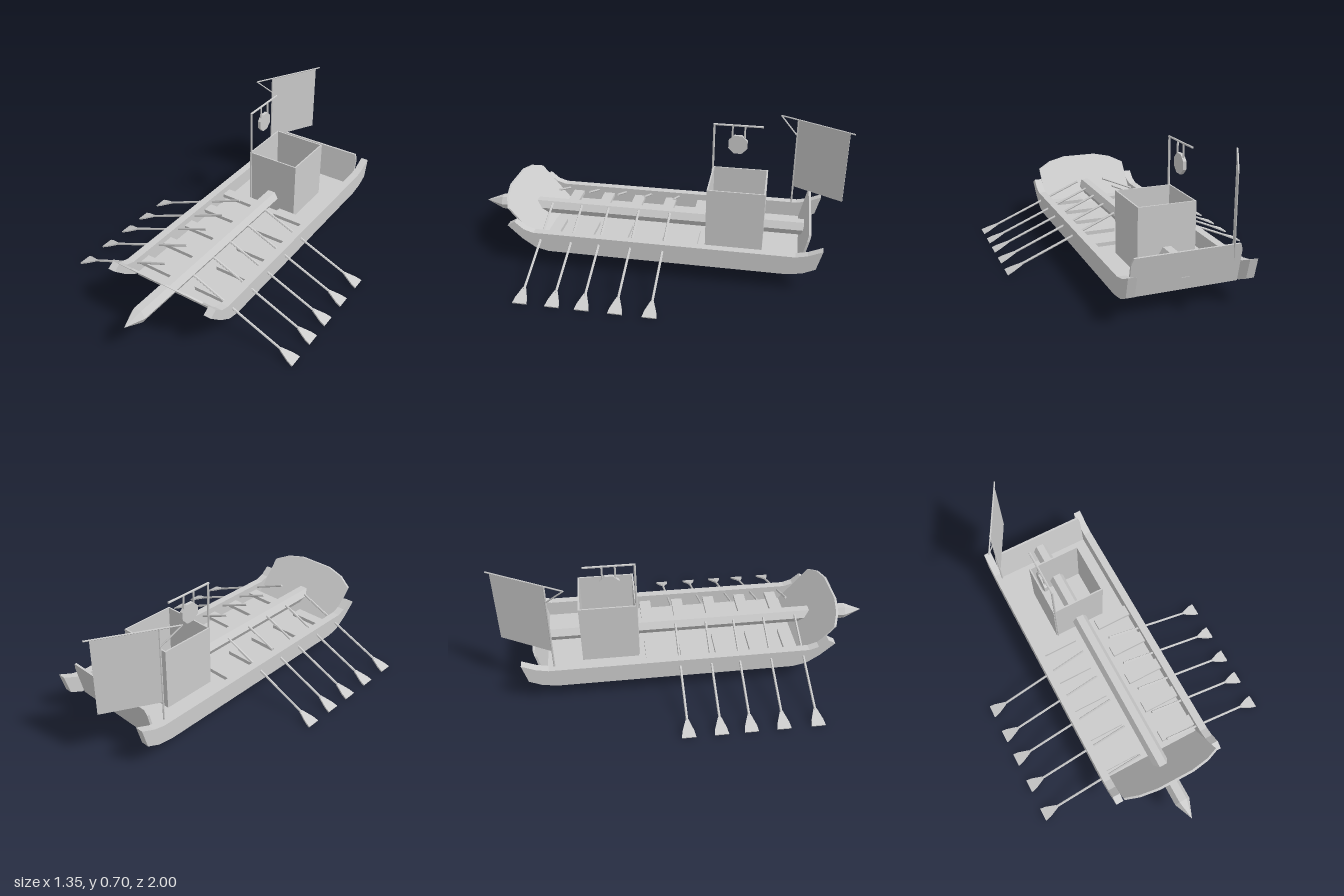
import * as THREE from 'three';

export function createModel() {
  const model = new THREE.Group();
  const mat = new THREE.MeshStandardMaterial({ color: 0xcccccc, flatShading: true, side: THREE.DoubleSide });

  const add = (geo, name, parent = model) => {
    const mesh = new THREE.Mesh(geo, mat);
    mesh.name = name;
    parent.add(mesh);
    return mesh;
  };

  // Box given by its limits on each axis
  const box = (name, x0, x1, y0, y1, z0, z1, parent) => add(
    new THREE.BoxGeometry(x1 - x0, y1 - y0, z1 - z0)
      .translate((x0 + x1) / 2, (y0 + y1) / 2, (z0 + z1) / 2), name, parent);

  // Straight rod between two points
  const rod = (name, a, b, r, sides = 6, parent = model) => {
    const from = new THREE.Vector3(...a), to = new THREE.Vector3(...b);
    const mesh = add(new THREE.CylinderGeometry(r, r, from.distanceTo(to), sides), name, parent);
    mesh.position.copy(from).add(to).multiplyScalar(0.5);
    mesh.quaternion.setFromUnitVectors(new THREE.Vector3(0, 1, 0), to.sub(from).normalize());
    return mesh;
  };

  const extrude = (pts, depth) => new THREE.ExtrudeGeometry(
    new THREE.Shape(pts.map(p => new THREE.Vector2(...p))), { depth, bevelEnabled: false });

  // Side rails: profile in (z, y), extruded across x
  const railProfile = [
    [0.54, 0.097], [0.61, 0.113], [0.68, 0.16], [0.757, 0.232], [0.717, 0.256], [0.67, 0.216], [0.62, 0.2],
    [-0.74, 0.2], [-0.80, 0.213], [-0.873, 0.245], [-0.845, 0.14], [-0.78, 0.11], [-0.70, 0.097],
  ];
  for (const [name, x] of [['leftRail', 0.316], ['rightRail', -0.274]]) {
    add(extrude(railProfile, 0.042).rotateY(-Math.PI / 2).translate(x, 0, 0), name);
  }

  // Floor
  box('floor', -0.274, 0.274, 0.1, 0.115, -0.76, 0.6);

  // Sloping end boards: outline in (x, height), sheared along z by a rule
  const endBoard = (name, pts, y0, z0, slope, thickness) => {
    const geo = extrude(pts, thickness);
    const p = geo.attributes.position;
    for (let i = 0; i < p.count; i++) p.setZ(i, p.getZ(i) + z0 + (p.getY(i) - y0) * slope);
    geo.computeVertexNormals();
    return add(geo, name);
  };
  endBoard('bowBoard', [
    [-0.274, 0.105], [0.274, 0.105], [0.274, 0.31], [0.2, 0.345], [0.1, 0.365],
    [-0.1, 0.365], [-0.2, 0.345], [-0.274, 0.31],
  ], 0.105, 0.585, 0.82, 0.012);
  endBoard('sternBoard', [
    [-0.274, 0.1], [0.274, 0.1], [0.274, 0.27], [0.262, 0.302], [-0.262, 0.302], [-0.274, 0.27],
  ], 0.1, -0.765, -0.225, 0.012);

  // Six-sided keel beam running out into a pointed ram
  add(new THREE.CylinderGeometry(0.042, 0.042, 1.68, 6).rotateY(Math.PI / 6)
    .rotateX(Math.PI / 2).translate(0, 0.2, 0.06), 'keelBeam');
  add(new THREE.ConeGeometry(0.042, 0.1, 6).rotateY(Math.PI / 6)
    .rotateX(Math.PI / 2).translate(0, 0.2, 0.95), 'ramTip');

  // Open-topped cabin
  const cabin = new THREE.Group();
  cabin.name = 'cabin';
  model.add(cabin);
  const w = 0.008;
  box('cabinFloor', -0.15, 0.15, 0.098, 0.12, -0.57, -0.27, cabin);
  box('cabinFront', -0.15, 0.15, 0.1, 0.447, -0.27 - w, -0.27, cabin);
  box('cabinBack', -0.15, 0.15, 0.1, 0.447, -0.57, -0.57 + w, cabin);
  box('cabinLeftWall', 0.15 - w, 0.15, 0.1, 0.447, -0.57 + w, -0.27 - w, cabin);
  box('cabinRightWall', -0.15, -0.15 + w, 0.1, 0.447, -0.57 + w, -0.27 - w, cabin);

  // Gong hanging from a bracket on the cabin
  const gong = new THREE.Group();
  gong.name = 'gongStand';
  model.add(gong);
  const gx = -0.141;
  rod('gongPost', [gx, 0.12, -0.27], [gx, 0.7, -0.27], 0.006, 6, gong);
  rod('gongArm', [gx, 0.697, -0.265], [gx, 0.697, -0.53], 0.006, 6, gong);
  for (const z of [-0.368, -0.434]) rod('gongHanger', [gx, 0.695, z], [gx, 0.62, z], 0.005, 6, gong);
  add(new THREE.CylinderGeometry(0.055, 0.055, 0.018, 8).rotateY(Math.PI / 8)
    .rotateZ(Math.PI / 2).translate(gx, 0.59, -0.4), 'gong', gong);

  // Stern mast with slanted yard, brace and hanging sail
  rod('mast', [-0.28, 0.11, -0.71], [-0.28, 0.7, -0.71], 0.005);
  rod('yard', [-0.33, 0.698, -0.617], [-0.12, 0.698, -0.998], 0.004);
  rod('yardBrace', [-0.33, 0.698, -0.617], [-0.28, 0.605, -0.71], 0.004);
  const sail = add(new THREE.BoxGeometry(0.303, 0.398, 0.004), 'sail');
  sail.position.set(-0.207, 0.5, -0.842);
  sail.rotation.y = Math.atan2(0.265, 0.146);

  // Rowing benches
  for (let i = 0; i < 5; i++) {
    const z = -0.205 + i * 0.185;
    box('leftBench', 0.075, 0.276, 0.145, 0.165, z - 0.031, z + 0.031);
    box('rightBench', -0.276, -0.075, 0.145, 0.165, z - 0.031, z + 0.031);
  }

  // Oars: shaft and flat blade lie along +x, then tilt down to the water
  const tilt = Math.atan2(0.25, 0.59);
  const bladePts = [
    [0.55, -0.008], [0.61, -0.03], [0.645, -0.036], [0.643, 0.036], [0.61, 0.03], [0.55, 0.008],
  ];
  bladePts[2][0] = bladePts[3][0] = 0.643;
  const addOar = (side, z) => {
    const oar = new THREE.Group();
    oar.name = side > 0 ? 'leftOar' : 'rightOar';
    add(new THREE.CylinderGeometry(0.0065, 0.0065, 0.56, 6).rotateZ(Math.PI / 2)
      .translate(0.28, 0, 0), 'oarShaft', oar);
    add(extrude(bladePts, 0.008).rotateX(Math.PI / 2).translate(0, 0.004, 0), 'oarBlade', oar);
    oar.position.set(side * 0.083, 0.258, z);
    oar.rotation.set(0, side > 0 ? 0 : Math.PI, -tilt);
    oar.rotation.order = 'YXZ';
    model.add(oar);
  };
  [-0.07, 0.1, 0.267, 0.417, 0.582].forEach(z => addOar(1, z));
  [-0.064, 0.1, 0.251, 0.417, 0.592].forEach(z => addOar(-1, z));

  return model;
}
